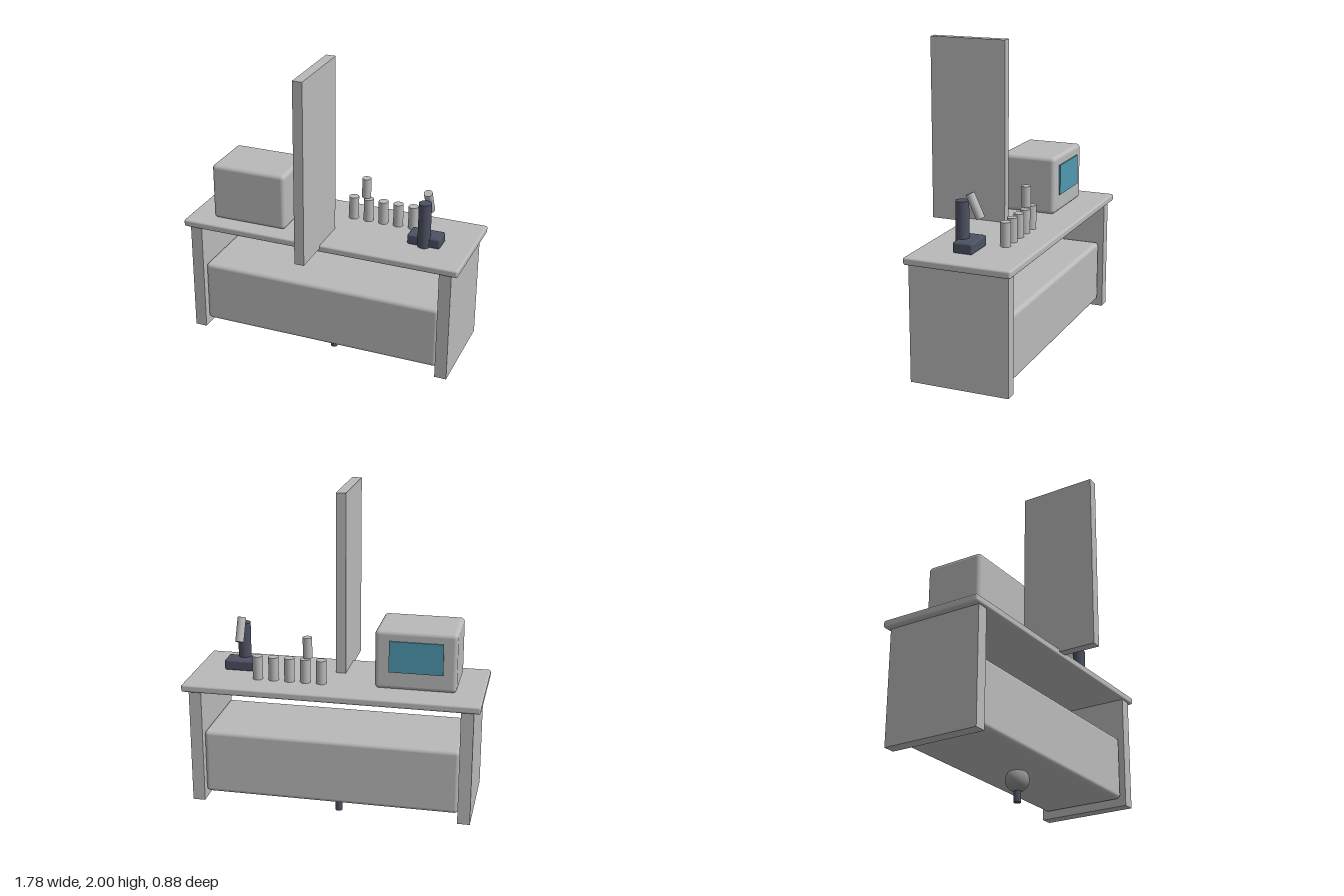
import * as THREE from 'three';
import { RoundedBoxGeometry } from 'three/addons/geometries/RoundedBoxGeometry.js';

function material(name, color) {
  const m = new THREE.MeshStandardMaterial({ color });
  m.name = name;
  return m;
}

export function createModel() {
  const model = new THREE.Group();
  model.name = 'counter';

  const lightGrey = material('light grey', 0xb9b9b9);
  const midGrey = material('mid grey', 0x8e8e90);
  const darkSlate = material('dark slate', 0x4c5162);
  const screenBlue = material('screen blue', 0x4f98b0);

  function add(name, geometry, mat, x, y, z) {
    const mesh = new THREE.Mesh(geometry, mat);
    mesh.name = name;
    mesh.position.set(x, y, z);
    model.add(mesh);
    return mesh;
  }

  // Box given by its minimum and maximum corners, rounded if a radius is set
  function block(name, mat, [x0, y0, z0], [x1, y1, z1], radius = 0) {
    const size = [x1 - x0, y1 - y0, z1 - z0];
    const geometry = radius
      ? new RoundedBoxGeometry(...size, 4, radius)
      : new THREE.BoxGeometry(...size);
    return add(name, geometry, mat, (x0 + x1) / 2, (y0 + y1) / 2, (z0 + z1) / 2);
  }

  // Upright cylinder standing on y0
  function post(name, mat, radius, x, z, y0, y1) {
    const geometry = new THREE.CylinderGeometry(radius, radius, y1 - y0, 32);
    return add(name, geometry, mat, x, (y0 + y1) / 2, z);
  }

  // Counter: top, two side panels and the cabinet between them
  block('counterTop', lightGrey, [-0.89, 0.845, -0.44], [0.89, 0.89, 0.205], 0.012);
  block('leftSidePanel', lightGrey, [0.775, 0.135, -0.415], [0.85, 0.845, 0.19]);
  block('rightSidePanel', lightGrey, [-0.85, 0.135, -0.415], [-0.775, 0.845, 0.19]);
  block('cabinet', lightGrey, [-0.775, 0.18, -0.385], [0.775, 0.58, 0.16], 0.025);

  // Ball and peg below the cabinet
  add('footBall', new THREE.SphereGeometry(0.072, 32, 24), midGrey, 0, 0.135, -0.11);
  post('footPeg', darkSlate, 0.022, 0, -0.11, 0, 0.1);

  // Tall divider
  block('divider', lightGrey, [-0.03, 0.87, -0.045], [0.03, 2, 0.44]);

  // Machine with a screen on its back
  block('machineBody', lightGrey, [-0.73, 0.89, -0.26], [-0.245, 1.25, 0.105], 0.025);
  block('machineScreen', screenBlue, [-0.65, 1.0, -0.269], [-0.33, 1.19, -0.26]);

  // Row of cups with one more above
  for (let i = 0; i < 5; i++) {
    post('cup', lightGrey, 0.031, 0.08 + i * 0.0975, -0.237, 0.89, 1.035);
  }
  post('upperCup', lightGrey, 0.028, 0.162, -0.237, 1.045, 1.172);

  // Stand with a tilted handle
  block('standBase', darkSlate, [0.505, 0.89, -0.135], [0.71, 0.955, -0.015], 0.012);
  post('standColumn', darkSlate, 0.039, 0.608, -0.031, 0.89, 1.172);
  const handle = post('standHandle', lightGrey, 0.026, 0.608, -0.111, 1.072, 1.224);
  handle.rotation.x = 0.44;

  return model;
}
